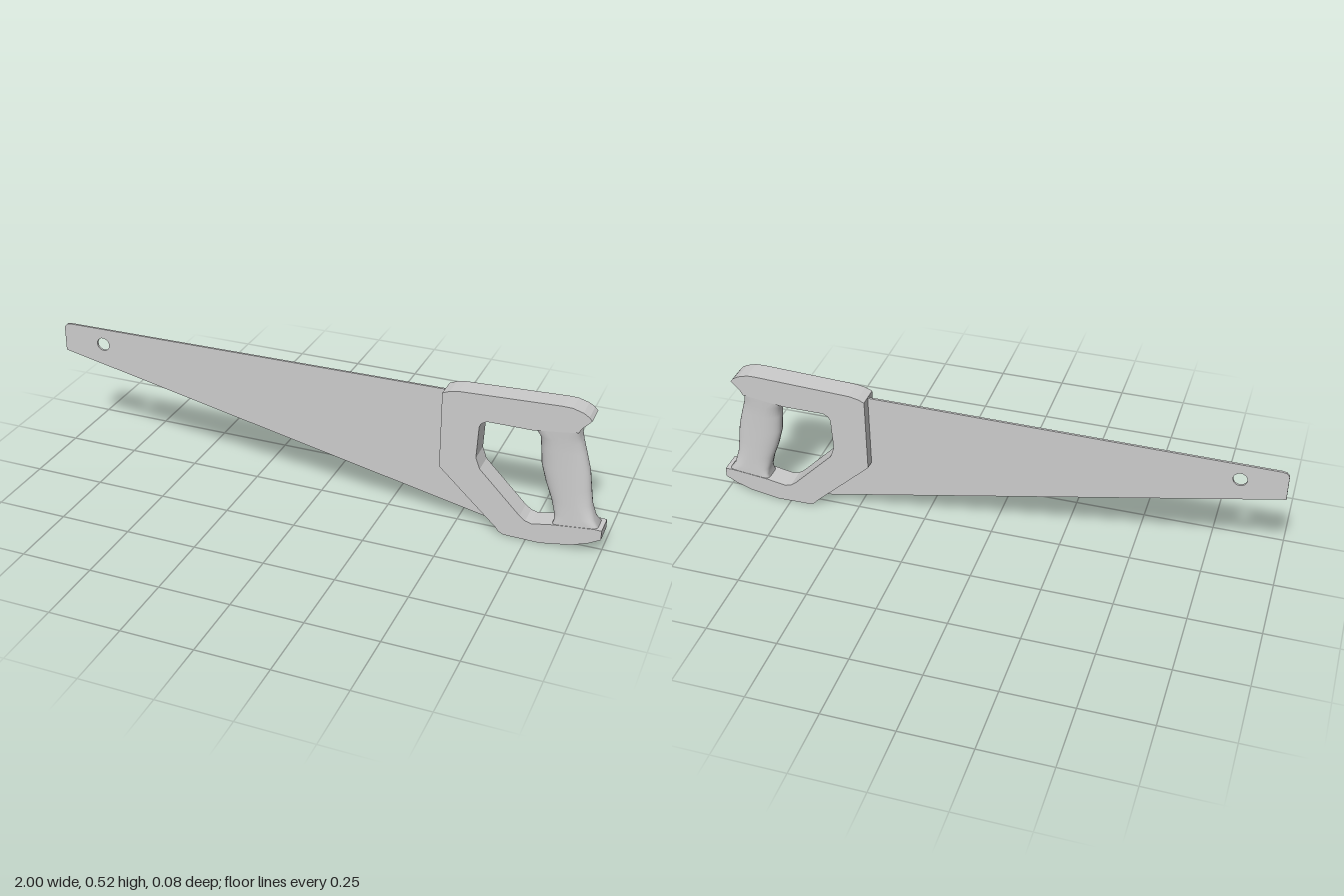
import * as THREE from 'three';

const material = new THREE.MeshStandardMaterial({ color: 0xcccccc });

// Flat outline extruded symmetrically about z = 0
function plate(name, points, depth, holes = []) {
  const shape = new THREE.Shape(points.map(([x, y]) => new THREE.Vector2(x, y)));
  shape.holes.push(...holes);
  const geometry = new THREE.ExtrudeGeometry(shape, { depth, bevelEnabled: false, curveSegments: 12 });
  geometry.translate(0, 0, -depth / 2);
  const mesh = new THREE.Mesh(geometry, material);
  mesh.name = name;
  return mesh;
}

// Rounded grip lofted through rows of [y, xMin, xMax, halfDepth, squareness]
function createGrip() {
  const rows = [
    [0.070, 0.830, 0.985, 0.0385, 7],
    [0.095, 0.837, 0.985, 0.0385, 6],
    [0.115, 0.833, 0.970, 0.0375, 3.5],
    [0.165, 0.818, 0.955, 0.0365, 2.5],
    [0.220, 0.796, 0.947, 0.036, 2.4],
    [0.285, 0.777, 0.938, 0.036, 2.4],
    [0.350, 0.771, 0.920, 0.036, 2.5],
    [0.390, 0.767, 0.907, 0.037, 3],
    [0.415, 0.753, 0.899, 0.0385, 4.5],
    [0.440, 0.745, 0.895, 0.0395, 8],
  ];
  const sides = 32, positions = [], index = [];
  const bend = (v, n) => Math.sign(v) * Math.abs(v) ** (2 / n);
  rows.forEach(([y, x0, x1, depth, n], r) => {
    for (let i = 0; i < sides; i++) {
      const a = (i / sides) * Math.PI * 2;
      positions.push((x0 + x1) / 2 + bend(Math.cos(a), n) * (x1 - x0) / 2, y, bend(Math.sin(a), n) * depth);
      if (r < rows.length - 1) {
        const p = r * sides + i, q = r * sides + (i + 1) % sides;
        index.push(p, p + sides, q, q, p + sides, q + sides);
      }
    }
  });
  const geometry = new THREE.BufferGeometry();
  geometry.setAttribute('position', new THREE.Float32BufferAttribute(positions, 3));
  geometry.setIndex(index);
  geometry.computeVertexNormals();
  const mesh = new THREE.Mesh(geometry, material);
  mesh.name = 'grip';
  return mesh;
}

export function createModel() {
  const saw = new THREE.Group();
  saw.name = 'handSaw';

  // Tapered blade with a hanging hole near the tip
  const hangingHole = new THREE.Path();
  hangingHole.absarc(-0.845, 0.418, 0.024, 0, Math.PI * 2, true);
  saw.add(plate('blade', [
    [-1, 0.37], [0.655, 0.025], [0.665, 0.05], [0.52, 0.2], [0.52, 0.487],
    [-0.975, 0.476], [-0.99, 0.473], [-1, 0.462],
  ], 0.008, [hangingHole]));

  // C-shaped handle body, open where the grip sits
  saw.add(plate('handleBody', [
    // outer edge, from the upper hook round to the heel
    [0.895, 0.435], [0.905, 0.453], [0.935, 0.485], [0.925, 0.497], [0.905, 0.509],
    [0.87, 0.519], [0.84, 0.52], [0.495, 0.506], [0.465, 0.5], [0.44, 0.49],
    [0.44, 0.215], [0.645, 0.025], [0.657, 0.01], [0.675, 0.002], [0.80, 0],
    [0.905, 0.018], [0.96, 0.038], [1, 0.06], [1, 0.094],
    // inner edge, from the lower arm back to the upper arm
    [0.975, 0.095], [0.837, 0.08], [0.767, 0.067], [0.745, 0.073], [0.725, 0.088],
    [0.58, 0.235], [0.565, 0.275], [0.57, 0.39], [0.577, 0.405], [0.595, 0.415],
    [0.745, 0.415],
  ], 0.08));

  saw.add(createGrip());
  return saw;
}
